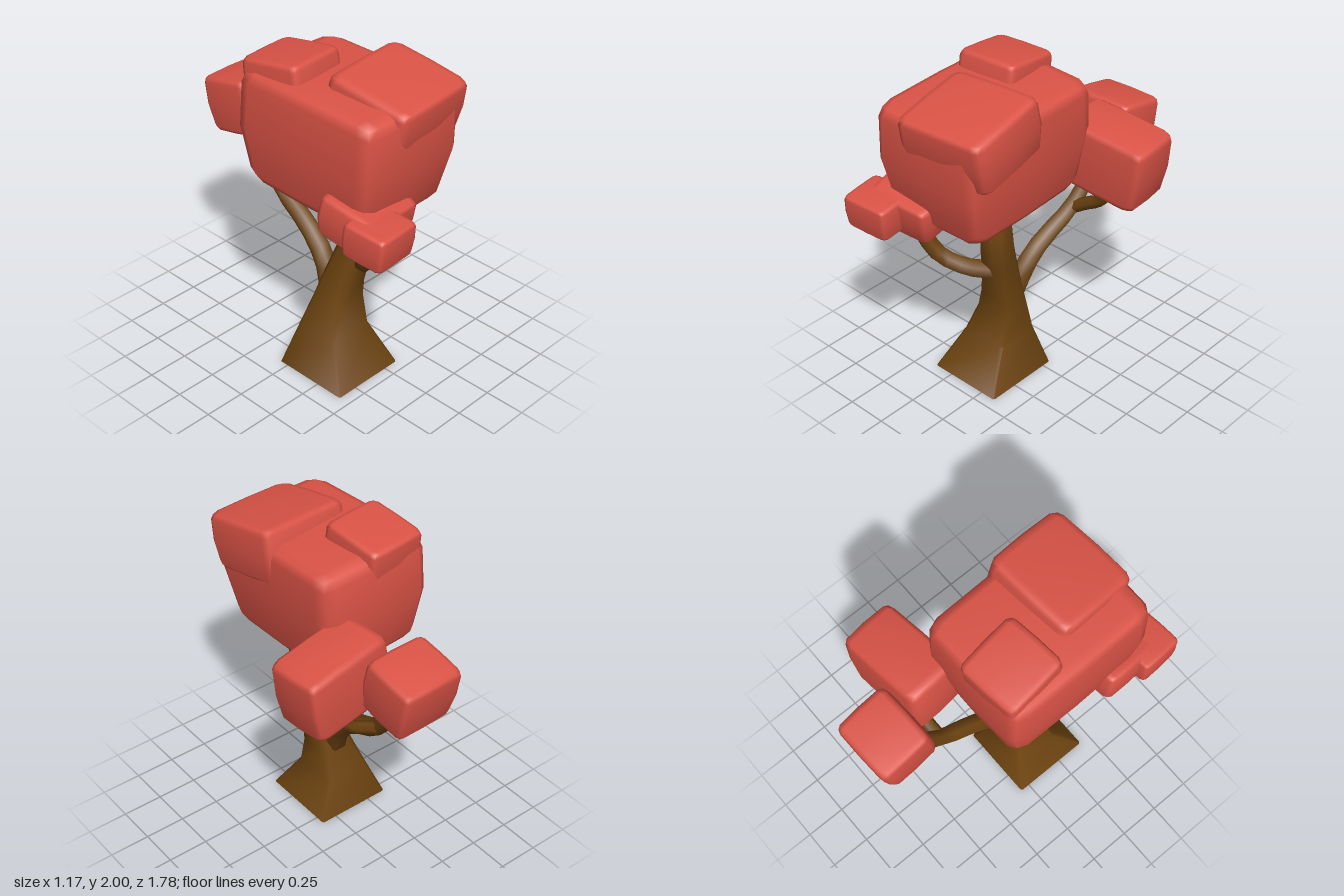
import * as THREE from 'three';
import { toCreasedNormals, mergeVertices } from 'three/addons/utils/BufferGeometryUtils.js';

const bark = new THREE.MeshStandardMaterial({ color: 0x6e4410 });
bark.name = 'bark brown';
const foliage = new THREE.MeshStandardMaterial({ color: 0xdb5346 });
foliage.name = 'leaf red';

// Trunk: chamfered square rings [y, xMin, xMax, zMin, zMax, chamfer]
function trunkGeometry(rings) {
  const pos = [], index = [];
  for (const [y, x0, x1, z0, z1, c] of rings) {
    const cx = (x1 - x0) * c, cz = (z1 - z0) * c;
    const loop = [
      [x1, z0 + cz], [x1, z1 - cz], [x1 - cx, z1], [x0 + cx, z1],
      [x0, z1 - cz], [x0, z0 + cz], [x0 + cx, z0], [x1 - cx, z0],
    ];
    for (const [x, z] of loop) pos.push(x, y, z);
  }
  for (let r = 0; r < rings.length - 1; r++) {
    for (let i = 0; i < 8; i++) {
      const a = r * 8 + i, b = r * 8 + (i + 1) % 8;
      index.push(a, a + 8, b, b, a + 8, b + 8);
    }
  }
  const top = (rings.length - 1) * 8;
  for (let i = 1; i < 7; i++) {
    index.push(0, i, i + 1);
    index.push(top, top + i + 1, top + i);
  }
  const geo = new THREE.BufferGeometry();
  geo.setAttribute('position', new THREE.Float32BufferAttribute(pos, 3));
  geo.setIndex(index);
  return toCreasedNormals(geo, 0.95);
}

// Branch: six-sided tube that narrows from r0 to r1
function branchGeometry(points, r0, r1) {
  const path = new THREE.CatmullRomCurve3(points.map((p) => new THREE.Vector3(...p)));
  const segs = 10, sides = 6;
  const geo = new THREE.TubeGeometry(path, segs, 1, sides);
  const p = geo.attributes.position, v = new THREE.Vector3();
  for (let i = 0; i < p.count; i++) {
    const t = Math.floor(i / (sides + 1)) / segs;
    const c = path.getPointAt(t);
    v.fromBufferAttribute(p, i).sub(c).multiplyScalar(r0 + (r1 - r0) * t).add(c);
    p.setXYZ(i, v.x, v.y, v.z);
  }
  return geo;
}

// Leaf clump: bulging box with softened edges; narrow tapers its underside
function clumpGeometry(hx, hy, hz, narrow = 1) {
  let geo = new THREE.BoxGeometry(2, 2, 2, 4, 4, 4);
  geo.deleteAttribute('uv');
  geo.deleteAttribute('normal');
  geo = mergeVertices(geo);
  const p = geo.attributes.position, n = 8;
  const grid = (a) => (Math.abs(Math.abs(a) - 0.5) < 0.01 ? Math.sign(a) * 0.8 : a);
  for (let i = 0; i < p.count; i++) {
    const q = [p.getX(i), p.getY(i), p.getZ(i)].map(grid);
    const k = q.reduce((s, a) => s + Math.abs(a) ** n, 0) ** (-1 / n);
    const t = q[1] < 0 ? 1 + (narrow - 1) * -q[1] : 1;
    p.setXYZ(i, q[0] * k * hx * t, q[1] * k * hy, q[2] * k * hz * t);
  }
  geo.computeVertexNormals();
  return geo;
}

export function createModel() {
  const tree = new THREE.Group();
  tree.name = 'tree';
  const add = (name, geo, mat) => {
    const mesh = new THREE.Mesh(geo, mat);
    mesh.name = name;
    tree.add(mesh);
    return mesh;
  };

  add('trunk', trunkGeometry([
    [0, -0.38, 0.10, -0.06, 0.43, 0.02],
    [0.25, -0.28, 0.02, -0.01, 0.28, 0.06],
    [0.44, -0.21, 0.02, 0.03, 0.25, 0.12],
    [0.57, -0.175, 0.02, 0.06, 0.265, 0.16],
    [0.80, -0.12, 0.045, 0.13, 0.315, 0.2],
    [0.93, -0.10, 0.065, 0.17, 0.345, 0.22],
    [1.08, -0.10, 0.06, 0.18, 0.345, 0.24],
    [1.20, -0.11, 0.04, 0.165, 0.315, 0.25],
    [1.32, -0.12, 0.02, 0.14, 0.28, 0.25],
  ]), bark);

  // Branches, each ending inside its clump
  add('frontBranch', branchGeometry([
    [-0.03, 0.78, 0.25], [-0.13, 0.82, 0.38], [-0.25, 0.90, 0.48],
    [-0.31, 1.02, 0.53], [-0.35, 1.14, 0.555], [-0.37, 1.25, 0.57],
  ], 0.06, 0.045), bark);
  add('backBranch', branchGeometry([
    [-0.09, 0.47, 0.07], [-0.07, 0.60, 0.01], [-0.06, 0.72, -0.09], [-0.045, 0.81, -0.22],
    [-0.03, 0.90, -0.38], [-0.015, 1.03, -0.49], [0.0, 1.18, -0.59], [0.01, 1.32, -0.67],
  ], 0.07, 0.04), bark);
  add('sideBranch', branchGeometry([
    [-0.03, 0.90, -0.39], [0.08, 0.97, -0.40], [0.18, 1.03, -0.40],
    [0.235, 1.11, -0.39], [0.25, 1.26, -0.38],
  ], 0.042, 0.034), bark);

  // Leaf clumps: name, centre, half sizes, rotation, underside taper
  const clumps = [
    ['mainClump', [-0.125, 1.55, 0.225], [0.375, 0.355, 0.5], [0.03, 0.02, -0.03], 0.88],
    ['topFrontClump', [0.0, 1.77, 0.455], [0.295, 0.175, 0.27], [0.18, 0.08, 0], 0.95],
    ['topBackClump', [-0.245, 1.84, -0.055], [0.195, 0.145, 0.2], [-0.13, 0.1, 0], 1],
    ['sideClump', [0.28, 1.385, -0.375], [0.285, 0.215, 0.175], [0.02, 0.09, -0.13], 0.94],
    ['backClump', [0.015, 1.385, -0.69], [0.205, 0.18, 0.175], [-0.2, 0.03, 0], 0.92],
    ['lowFrontClump', [-0.325, 1.265, 0.56], [0.21, 0.125, 0.185], [0.18, 0.08, -0.08], 0.92],
    ['lowTipClump', [-0.425, 1.26, 0.745], [0.152, 0.105, 0.138], [0.08, 0.08, -0.03], 0.95],
  ];
  for (const [name, at, half, turn, narrow] of clumps) {
    const clump = add(name, clumpGeometry(...half, narrow), foliage);
    clump.position.set(...at);
    clump.rotation.set(...turn);
  }
  return tree;
}
